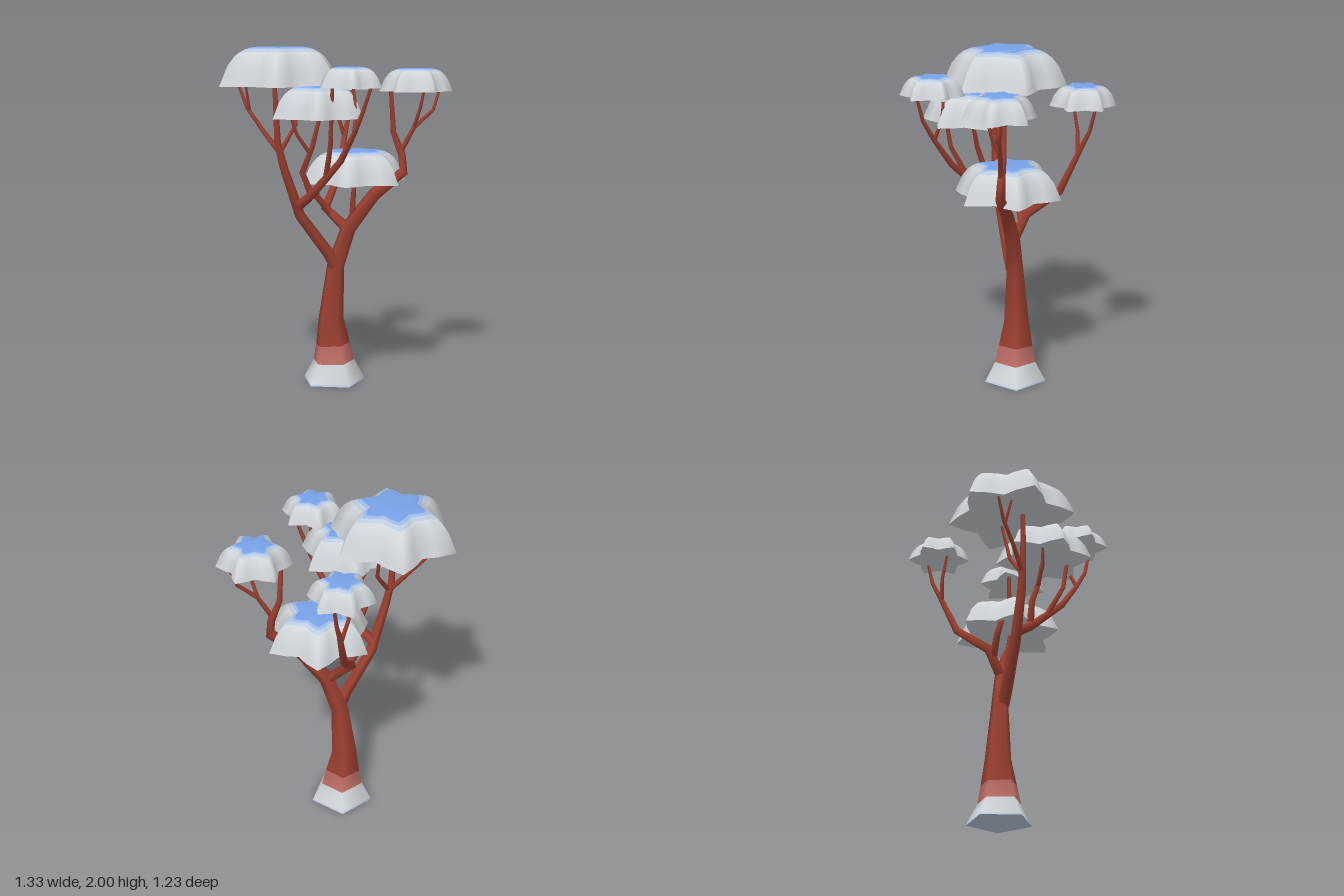
import * as THREE from 'three';

const mat = (name, color) => {
  const m = new THREE.MeshStandardMaterial({ color });
  m.name = name;
  return m;
};
const V = (x, y, z) => new THREE.Vector3(x, y, z);

// Joins closed rings into a smooth skin; bands[i] is the material index between ring i and i + 1
function loft(rings, bands) {
  const n = rings[0].length, index = [];
  const geo = new THREE.BufferGeometry().setFromPoints(rings.flat());
  for (let i = 0; i < rings.length - 1; i++) {
    geo.addGroup(index.length, n * 6, bands ? bands[i] : 0);
    for (let j = 0; j < n; j++) {
      const a = i * n + j, b = i * n + (j + 1) % n;
      index.push(a, a + n, b, b, a + n, b + n);
    }
  }
  geo.setIndex(index);
  geo.computeVertexNormals();
  return geo;
}

// Flat, downward-facing fan that closes a ring
function underside(ring) {
  const centre = V(0, 0, 0);
  ring.forEach(p => centre.addScaledVector(p, 1 / ring.length));
  const index = ring.flatMap((_, j) => [0, j + 1, (j + 1) % ring.length + 1]);
  const geo = new THREE.BufferGeometry().setFromPoints([centre, ...ring]);
  geo.setIndex(index);
  geo.computeVertexNormals();
  return geo;
}

// Rings of a tapered limb; each path point is [x, y, z, radius]
function limbRings(path, sides = 5, phase = -15) {
  const pts = path.map(p => V(p[0], p[1], p[2]));
  return pts.map((p, i) => {
    const t = pts[Math.min(i + 1, pts.length - 1)].clone().sub(pts[Math.max(i - 1, 0)]).normalize();
    const u = V(1, 0, 0).addScaledVector(t, -t.x).normalize();
    const w = u.clone().cross(t);
    return Array.from({ length: sides }, (_, j) => {
      const a = (phase + j * 360 / sides) * Math.PI / 180;
      return p.clone().addScaledVector(u, path[i][3] * Math.cos(a)).addScaledVector(w, path[i][3] * Math.sin(a));
    });
  });
}

export function createModel() {
  const tree = new THREE.Group();
  tree.name = 'tree';
  const bark = mat('bark', 0x9c4030);
  const frostedBark = mat('frostedBark', 0xbb6c64);
  const snow = mat('snow', 0xd2d7db);
  const paleBlue = mat('paleBlue', 0xbccbe0);
  const lightBlue = mat('lightBlue', 0xa0bae6);
  const blue = mat('blue', 0x78a2e8);
  const add = (name, geo, material, parent = tree) => {
    const m = new THREE.Mesh(geo, material);
    m.name = name;
    parent.add(m);
  };

  // Trunk: flared pentagonal foot, two frost bands, then bark up to the right-hand bough
  const trunk = limbRings([
    [-0.04, 0, -0.035, 0.195], [-0.04, 0.01, -0.035, 0.19], [-0.04, 0.12, -0.035, 0.13],
    [-0.045, 0.225, -0.037, 0.108], [-0.055, 0.38, -0.04, 0.079], [-0.027, 0.7, -0.037, 0.054],
    [0.05, 0.93, -0.04, 0.047], [0.2, 1.13, -0.042, 0.04], [0.375, 1.27, -0.045, 0.03],
    [0.365, 1.37, -0.047, 0.024], [0.315, 1.5, -0.05, 0.017], [0.298, 1.76, -0.05, 0.012],
  ]);
  trunk[0].forEach(p => { p.y = 0; });
  add('trunk', loft(trunk, [2, 3, 1, 0, 0, 0, 0, 0, 0, 0, 0]), [bark, frostedBark, paleBlue, snow]);
  add('trunkUnderside', underside(trunk[0]), paleBlue);

  // Boughs and twigs
  const limbs = {
    rightTwigOuter: [[0.36, 1.39, -0.045, 0.016], [0.435, 1.53, -0.06, 0.013], [0.545, 1.63, -0.08, 0.011], [0.585, 1.76, -0.1, 0.008]],
    rightTwigMiddle: [[0.435, 1.53, -0.06, 0.012], [0.47, 1.64, -0.02, 0.01], [0.495, 1.76, 0.0, 0.008]],
    leftBough: [[-0.03, 0.71, -0.02, 0.04], [-0.07, 0.79, 0.01, 0.037], [-0.225, 1.02, 0.095, 0.033], [-0.31, 1.3, 0.15, 0.026],
      [-0.345, 1.45, 0.165, 0.021], [-0.35, 1.6, 0.17, 0.017], [-0.36, 1.8, 0.17, 0.013]],
    leftTwigOuter: [[-0.345, 1.41, 0.16, 0.016], [-0.44, 1.53, 0.13, 0.013], [-0.53, 1.65, 0.09, 0.011], [-0.585, 1.79, 0.07, 0.008]],
    leftTwigMiddle: [[-0.515, 1.63, 0.095, 0.01], [-0.53, 1.79, 0.14, 0.007]],
    leftTwigInner: [[-0.33, 1.4, 0.16, 0.015], [-0.25, 1.55, 0.07, 0.012], [-0.26, 1.79, 0.02, 0.009]],
    frontBough: [[-0.24, 1.07, 0.1, 0.03], [-0.16, 1.14, 0.17, 0.028], [-0.07, 1.24, 0.24, 0.024], [0.03, 1.36, 0.33, 0.02],
      [0.11, 1.52, 0.41, 0.015], [0.16, 1.64, 0.46, 0.012], [0.21, 1.79, 0.48, 0.009]],
    frontTwigInner: [[-0.06, 1.25, 0.25, 0.018], [-0.025, 1.45, 0.35, 0.014], [-0.01, 1.79, 0.4, 0.01]],
    frontTwigMiddle: [[0.11, 1.52, 0.41, 0.013], [0.12, 1.64, 0.36, 0.01], [0.1, 1.79, 0.35, 0.008]],
    middleBough: [[-0.15, 1.15, 0.17, 0.022], [-0.2, 1.28, 0.19, 0.019], [-0.14, 1.43, 0.22, 0.015], [-0.09, 1.62, 0.24, 0.011]],
    middleTwig: [[-0.155, 1.4, 0.215, 0.013], [-0.22, 1.5, 0.26, 0.011], [-0.26, 1.62, 0.27, 0.008]],
    backBough: [[0.05, 0.92, -0.04, 0.034], [-0.09, 1.05, -0.09, 0.03], [-0.03, 1.22, -0.3, 0.024], [0.01, 1.5, -0.43, 0.016],
      [0.03, 1.6, -0.48, 0.012], [0.05, 1.76, -0.52, 0.009]],
    backTwig: [[0.0, 1.45, -0.41, 0.014], [-0.04, 1.58, -0.4, 0.011], [-0.04, 1.76, -0.37, 0.008]],
    lowerBough: [[-0.06, 1.02, -0.07, 0.024], [-0.14, 1.12, -0.03, 0.02], [-0.12, 1.24, 0.0, 0.015]],
    lowerTwig: [[0.07, 0.96, -0.04, 0.02], [0.08, 1.1, -0.01, 0.016], [0.09, 1.24, 0.0, 0.012]],
  };
  for (const [name, path] of Object.entries(limbs)) add(name, loft(limbRings(path)), bark);

  // Six-pointed domed canopies: lobe outline, and profile as [radius, height] fractions
  const lobe = [1, 0.82, 0.69, 0.82];
  const profile = [[1, 0], [0.93, 0.26], [0.86, 0.52], [0.75, 0.75], [0.66, 0.86], [0.57, 0.93], [0.5, 0.965], [0.36, 1], [0, 1]];
  const canopy = (name, x, z, base, top, radius, phase) => {
    const group = new THREE.Group();
    group.name = name;
    const rings = profile.map(([r, h]) => Array.from({ length: 24 }, (_, j) => {
      const a = (phase + j * 15) * Math.PI / 180, d = radius * r * lobe[j % 4];
      return V(x + d * Math.cos(a), base + h * (top - base), z + d * Math.sin(a));
    }));
    add(name + 'Dome', loft(rings, [0, 0, 0, 0, 1, 2, 3, 3]), [snow, paleBlue, lightBlue, blue], group);
    add(name + 'Underside', underside(rings[0]), snow, group);
    tree.add(group);
  };
  canopy('leftCanopy', -0.333, 0.096, 1.775, 2.0, 0.38, 28);
  canopy('lowerCanopy', 0.09, -0.02, 1.21, 1.4, 0.325, 36);
  canopy('middleCanopy', -0.1, 0.245, 1.6, 1.78, 0.29, 26);
  canopy('frontCanopy', 0.09, 0.423, 1.775, 1.89, 0.19, 22);
  canopy('rightCanopy', 0.445, -0.055, 1.74, 1.875, 0.215, 1);
  canopy('backCanopy', 0, -0.435, 1.74, 1.86, 0.19, 16);
  return tree;
}
